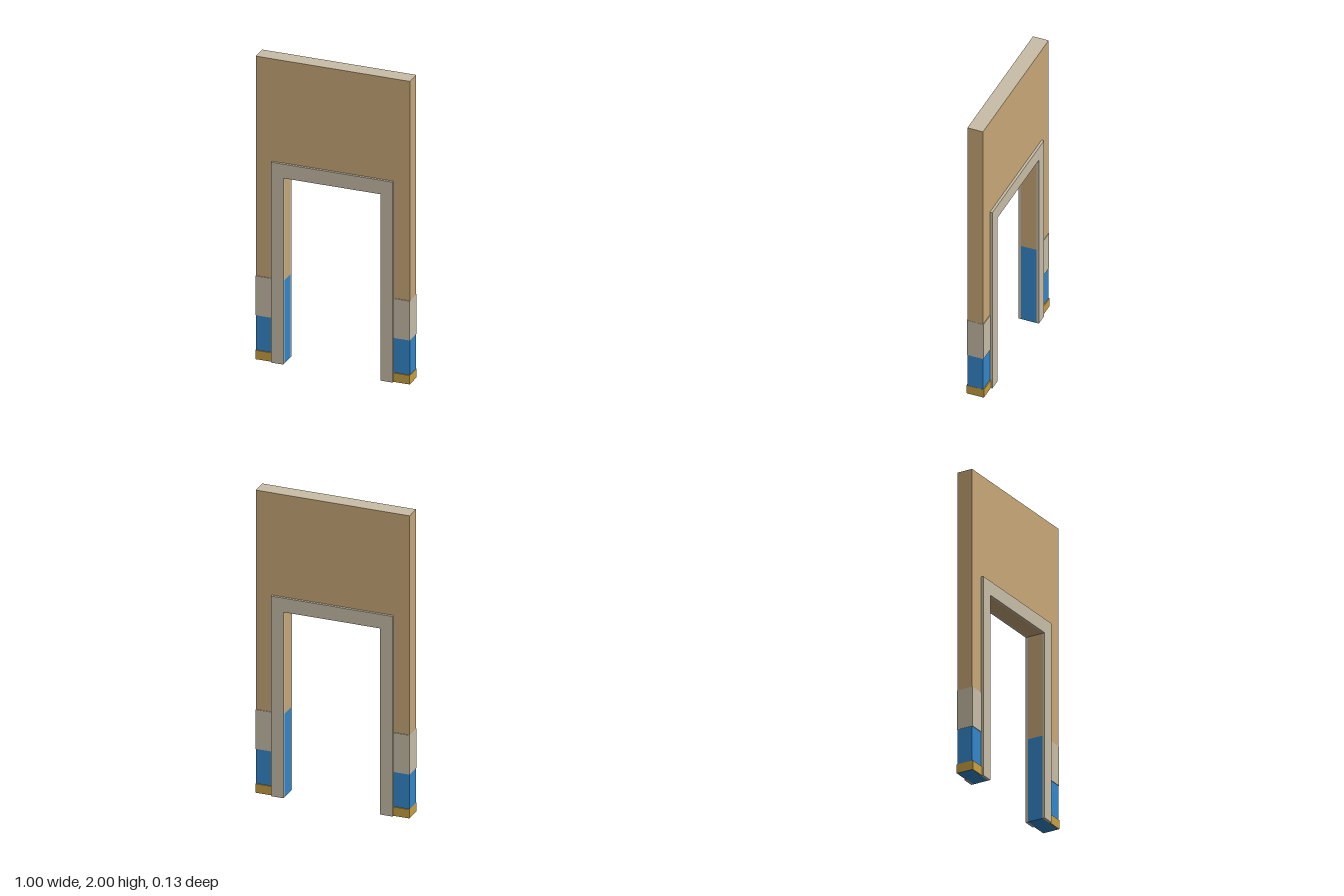
import * as THREE from 'three';

const paint = (color) => new THREE.MeshStandardMaterial({ color });

export function createModel() {
  const model = new THREE.Group();
  const tan = paint(0xc8a878), beige = paint(0xc8bea8);
  const blue = paint(0x3388cc), gold = paint(0xc8a040);

  const add = (name, geometry, material) => {
    const mesh = new THREE.Mesh(geometry, material);
    mesh.name = name;
    model.add(mesh);
    return mesh;
  };

  // Box given by its limits in x and y, centred on z = 0
  const box = (name, x0, x1, y0, y1, halfDepth, material) => {
    const mesh = add(name, new THREE.BoxGeometry(x1 - x0, y1 - y0, 2 * halfDepth), material);
    mesh.position.set((x0 + x1) / 2, (y0 + y1) / 2, 0);
  };

  // Upside-down U: outer rectangle with the doorway cut out from below
  const arch = (name, outer, top, inner, lintel, bottom, z0, z1, material) => {
    const shape = new THREE.Shape([
      [-outer, bottom], [-inner, bottom], [-inner, lintel], [inner, lintel],
      [inner, bottom], [outer, bottom], [outer, top], [-outer, top],
    ].map(([x, y]) => new THREE.Vector2(x, y)));
    const geometry = new THREE.ExtrudeGeometry(shape, { depth: z1 - z0, bevelEnabled: false });
    add(name, geometry.translate(0, 0, z0), material);
  };

  const half = 0.5, door = 0.315, lintel = 1.23, split = 0.55, depth = 0.051;

  // Wall above the painted base, with its pale top edge
  arch('wall', half, 1.999, door, lintel, split, -depth, depth, tan);
  add('wallTop', new THREE.PlaneGeometry(2 * half, 2 * depth).rotateX(-Math.PI / 2), beige)
    .position.y = 2;

  // Door casing on both faces
  arch('frontCasing', 0.395, 1.323, door, lintel, 0, depth, 0.067, beige);
  arch('backCasing', 0.395, 1.323, door, lintel, 0, -0.067, -depth, beige);

  // Painted wall base, with a pale band and a skirting around the outside
  for (const [side, s] of [['left', 1], ['right', -1]]) {
    const part = (name, a, b, y0, y1, d, material) =>
      box(side + name, Math.min(s * a, s * b), Math.max(s * a, s * b), y0, y1, d, material);
    part('WallBase', door, half, 0, split, depth, blue);
    part('Band', 0.39, half + 0.001, 0.29, split, 0.055, beige);
    part('Skirting', 0.39, half + 0.001, 0.001, 0.06, 0.057, gold);
  }

  return model;
}
